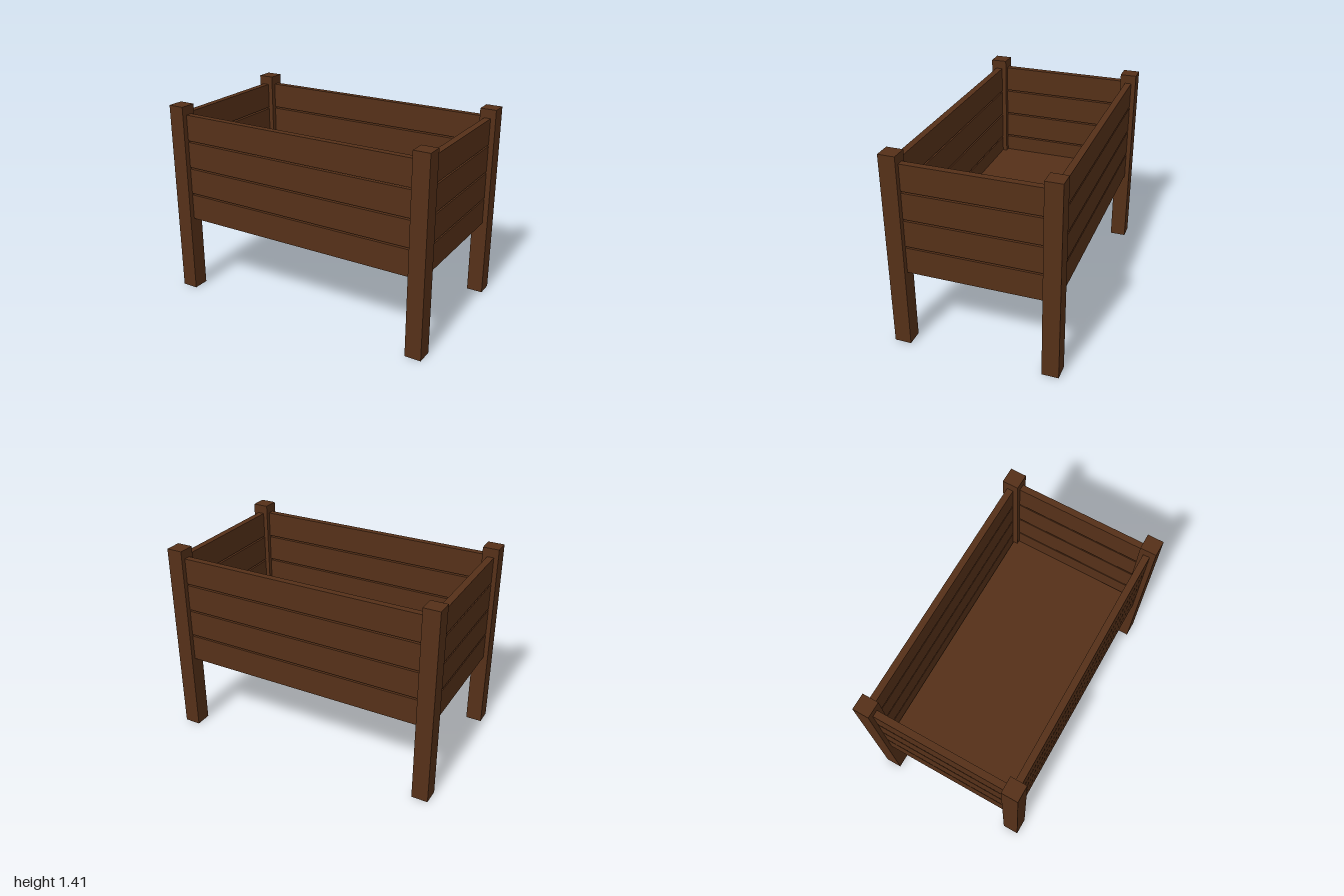
import * as THREE from 'three';

export function createModel() {
  const group = new THREE.Group();
  const wood = new THREE.MeshStandardMaterial({ color: 0x553018 });

  // Box given by its extents on each axis
  function board(name, [x0, x1], [y0, y1], [z0, z1]) {
    const mesh = new THREE.Mesh(new THREE.BoxGeometry(x1 - x0, y1 - y0, z1 - z0), wood);
    mesh.position.set((x0 + x1) / 2, (y0 + y1) / 2, (z0 + z1) / 2);
    mesh.name = name;
    group.add(mesh);
  }

  // Mirror an extent to the negative side
  const onSide = (side, a, b) => (side > 0 ? [a, b] : [-b, -a]);

  const postX = 0.884, postZ = 0.471;

  // Four corner posts
  for (const sx of [-1, 1])
    for (const sz of [-1, 1])
      board(`${sz > 0 ? 'front' : 'back'}${sx > 0 ? 'Left' : 'Right'}Post`,
        onSide(sx, postX, 1), [0, 1.412], onSide(sz, postZ, 0.588));

  // Four rows of planks between the posts, with narrow gaps
  for (let row = 0; row < 4; row++) {
    const y = 0.56 + row * 0.2;
    const height = [y, y + 0.188];
    board(`frontPlank${row + 1}`, [-postX, postX], height, [0.503, 0.551]);
    board(`backPlank${row + 1}`, [-postX, postX], height, [-0.555, -0.508]);
    board(`leftPlank${row + 1}`, [0.916, 0.963], height, [-postZ, postZ]);
    board(`rightPlank${row + 1}`, [-0.968, -0.92], height, [-postZ, postZ]);
  }

  // Floor panel, just above the lower edge of the planks
  board('floor', [-0.92, 0.91], [0.59, 0.63], [-0.503, 0.503]);

  return group;
}
